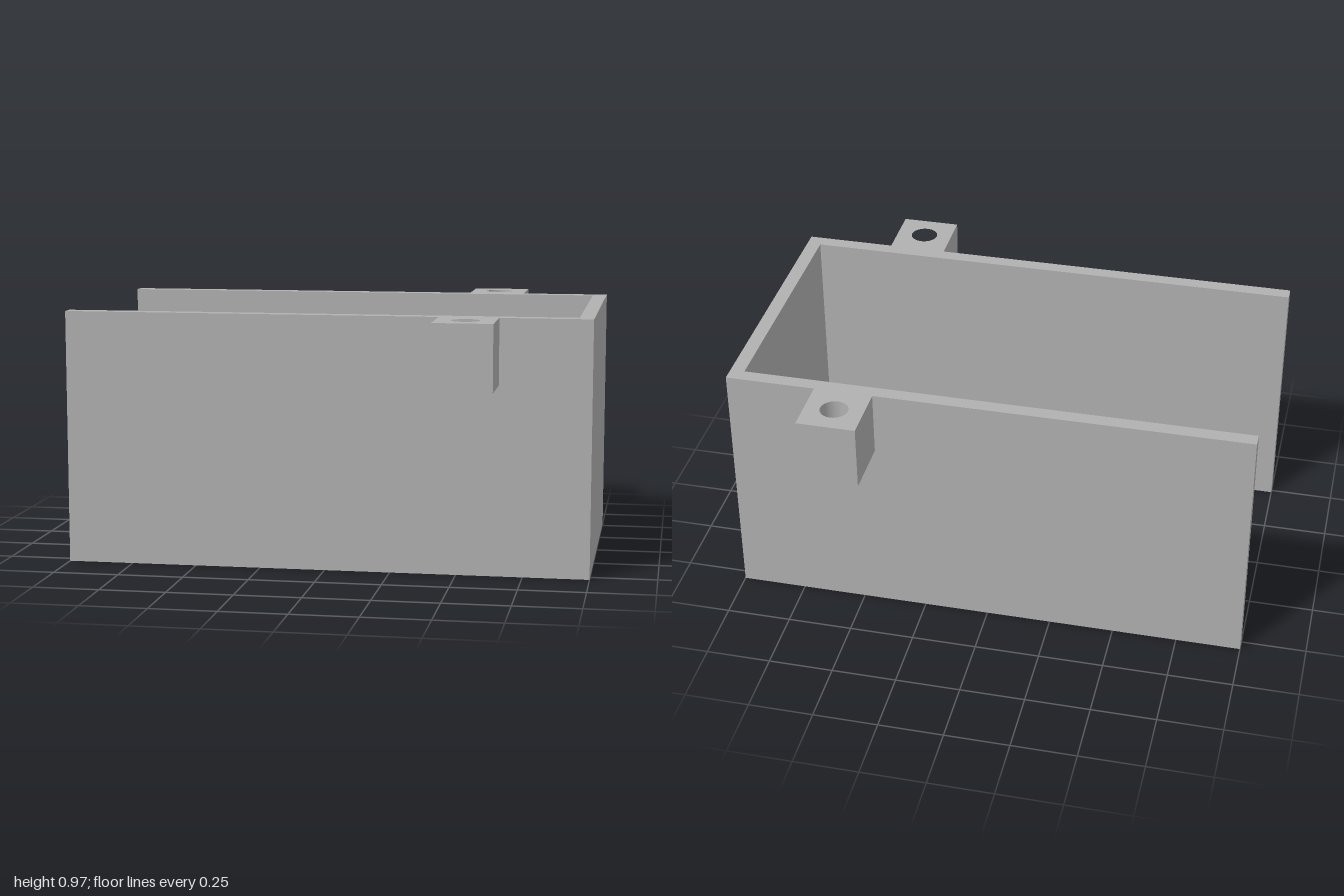
import * as THREE from 'three';

const H = 0.97;       // overall height
const OUT = 0.5425;   // outer half width
const INN = 0.4875;   // inner half width
const T = 0.055;      // wall thickness

export function createModel() {
  const model = new THREE.Group();
  const grey = new THREE.MeshStandardMaterial({ color: 0xb0b0b0 });
  grey.name = 'grey';

  // Extrudes a plan outline (x, z) upwards from y0 to y1
  const addPlan = (name, shape, y0, y1) => {
    const geo = new THREE.ExtrudeGeometry(shape, { depth: y1 - y0, bevelEnabled: false, curveSegments: 32 });
    geo.rotateX(-Math.PI / 2).translate(0, y0, 0);
    const mesh = new THREE.Mesh(geo, grey);
    mesh.name = name;
    model.add(mesh);
  };
  const outline = (pts) => new THREE.Shape(pts.map(([x, z]) => new THREE.Vector2(x, z)));

  // Two long side walls joined by the end wall
  addPlan('walls', outline([
    [-1, -OUT], [1, -OUT], [1, OUT], [-1, OUT],
    [-1, INN], [1 - T, INN], [1 - T, -INN], [-1, -INN],
  ]), 0, H);

  // Short floor at the closed end
  addPlan('floor', outline([[0.43, -INN], [1 - T, -INN], [1 - T, INN], [0.43, INN]]), 0, T);

  // Mounting lugs with a vertical through hole, one on each side
  for (const [name, s] of [['frontLug', -1], ['backLug', 1]]) {
    const lug = outline([[0.43, s * OUT], [0.655, s * OUT], [0.655, s * 0.7725], [0.43, s * 0.7725]]);
    const hole = new THREE.Path();
    hole.absarc(0.5425, s * 0.6575, 0.053, 0, Math.PI * 2, true);
    lug.holes.push(hole);
    addPlan(name, lug, 0.72, H);
  }

  return model;
}
